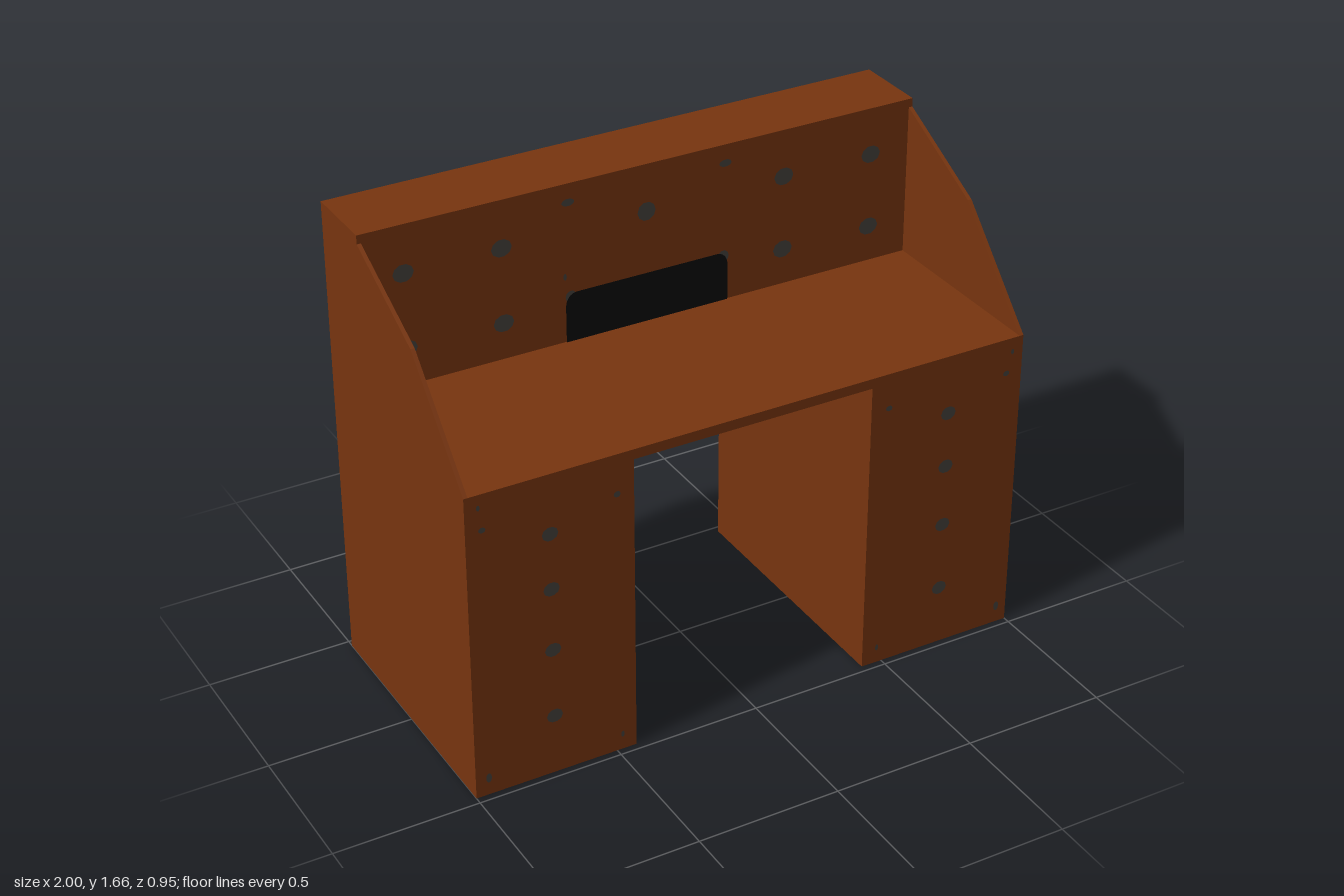
import * as THREE from 'three';

export function createModel() {
  const desk = new THREE.Group();
  desk.name = 'desk';
  const wood = new THREE.MeshStandardMaterial({ name: 'brown wood', color: 0x78350f });
  const metal = new THREE.MeshStandardMaterial({ name: 'dark grey metal', color: 0x44403c });
  const black = new THREE.MeshStandardMaterial({ name: 'black opening', color: 0x0a0a0a });

  const BACK = -0.475, FRONT = 0.475, PANEL = -0.21;
  const KNEE = 1.07, TOP = 1.105, HEIGHT = 1.665;

  const add = (name, geometry, material) => {
    const mesh = new THREE.Mesh(geometry, material);
    mesh.name = name;
    desk.add(mesh);
    return mesh;
  };
  const box = (name, x0, x1, y0, y1, z0, z1) => {
    const mesh = add(name, new THREE.BoxGeometry(x1 - x0, y1 - y0, z1 - z0), wood);
    mesh.position.set((x0 + x1) / 2, (y0 + y1) / 2, (z0 + z1) / 2);
  };

  // Pedestals, writing surface and upright back
  box('rightPedestal', -1, -0.43, 0, KNEE, BACK, FRONT);
  box('leftPedestal', 0.425, 1, 0, KNEE, BACK, FRONT);
  box('deskTop', -1, 1, KNEE, TOP, BACK, FRONT);
  box('upperCabinet', -1, 1, TOP, HEIGHT, BACK, PANEL);

  // Thin sloping cheeks: the shape's x runs along -z
  const cheek = new THREE.Shape([
    [-FRONT, TOP], [-PANEL, TOP], [-PANEL, 1.635], [-0.15, 1.45],
  ].map(([x, y]) => new THREE.Vector2(x, y)));
  const cheekGeometry = new THREE.ExtrudeGeometry(cheek, { depth: 0.014, bevelEnabled: false });
  cheekGeometry.rotateY(Math.PI / 2);
  add('rightCheek', cheekGeometry, wood).position.x = -1;
  add('leftCheek', cheekGeometry, wood).position.x = 0.986;

  // Flat opening with rounded upper corners
  const opening = new THREE.Shape();
  opening.moveTo(-0.3, TOP);
  opening.lineTo(0.295, TOP);
  opening.lineTo(0.295, 1.235);
  opening.quadraticCurveTo(0.29, 1.28, 0.25, 1.28);
  opening.lineTo(-0.255, 1.28);
  opening.quadraticCurveTo(-0.295, 1.28, -0.3, 1.235);
  opening.closePath();
  add('opening', new THREE.ShapeGeometry(opening), black).position.z = PANEL + 0.004;

  // Flat knobs and studs: [x, y, half width, half height]
  const disc = new THREE.CircleGeometry(1, 10);
  const studs = (name, z, list) => list.forEach(([x, y, rx, ry]) => {
    const mesh = add(name, disc, metal);
    mesh.position.set(x, y, z);
    mesh.scale.set(rx, ry, 1);
  });
  const cabinetKnobs = [[-0.005, 1.5, 0.033, 0.033]];
  for (const x of [-0.855, -0.52, 0.505, 0.84])
    for (const y of [1.5, 1.235]) cabinetKnobs.push([x, y, 0.036, 0.031]);
  studs('cabinetKnob', PANEL + 0.003, cabinetKnobs);
  studs('cabinetStud', PANEL + 0.002, [
    [-0.285, 1.6, 0.023, 0.013], [0.285, 1.6, 0.023, 0.013], [-0.3, 1.34, 0.006, 0.012],
    [-0.28, 1.265, 0.02, 0.022], [0.28, 1.265, 0.02, 0.022],
  ]);
  const drawerKnobs = [];
  for (const x of [-0.72, 0.72])
    for (const y of [0.895, 0.695, 0.47, 0.22]) drawerKnobs.push([x, y, 0.028, 0.025]);
  studs('drawerKnob', FRONT + 0.002, drawerKnobs);
  studs('drawerStud', FRONT + 0.002, [
    [-0.945, 0.98, 0.012, 0.01], [-0.49, 0.965, 0.012, 0.011],
    [0.49, 0.98, 0.012, 0.01], [0.94, 0.98, 0.012, 0.01],
    [-0.955, 1.06, 0.006, 0.01], [0.96, 1.055, 0.006, 0.01],
    [-0.955, 0.065, 0.01, 0.018], [0.96, 0.065, 0.01, 0.018],
    [-0.48, 0.06, 0.006, 0.012], [0.48, 0.06, 0.006, 0.012],
  ]);
  return desk;
}
